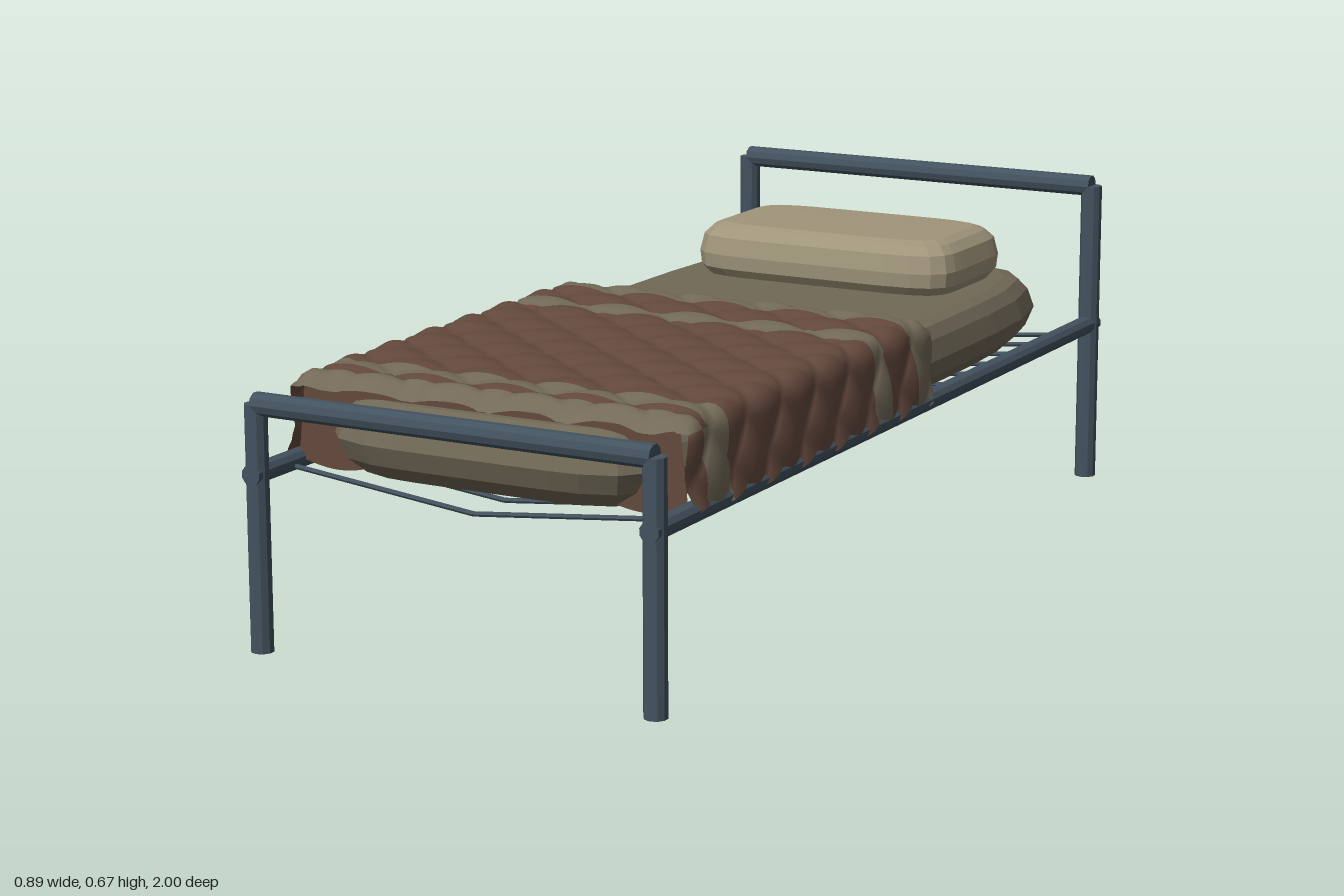
import * as THREE from 'three';

const mat = (name, color, extra = {}) => {
  const m = new THREE.MeshStandardMaterial({ color, ...extra });
  m.name = name;
  return m;
};

// Closed body lofted through rounded-rectangle rings; levels are [y, inset]
function loft(rx, rz, levels, n = 6, seg = 48) {
  const pos = [], idx = [];
  levels.forEach(([y, inset]) => {
    for (let i = 0; i < seg; i++) {
      const a = (i / seg) * Math.PI * 2, c = Math.cos(a), s = Math.sin(a);
      const r = (Math.abs(c) ** n + Math.abs(s) ** n) ** (-1 / n);
      pos.push(c * r * Math.max(0, rx - inset), y, s * r * Math.max(0, rz - inset));
    }
  });
  for (let l = 0; l < levels.length - 1; l++) {
    for (let i = 0; i < seg; i++) {
      const j = (i + 1) % seg, a = l * seg + i, b = a + seg, c = (l + 1) * seg + j, d = l * seg + j;
      idx.push(a, b, c, a, c, d);
    }
  }
  const g = new THREE.BufferGeometry();
  g.setAttribute('position', new THREE.Float32BufferAttribute(pos, 3));
  g.setIndex(idx);
  g.computeVertexNormals();
  return g;
}

// Striped quilt: a draped cross-section swept along z with diamond padding
function quiltGeometry() {
  const z0 = -0.14, z1 = 0.85, rows = 99, cols = 88, total = 0.5635;
  const bendR = 0.03, flat = 0.385, bendMax = 1.45;
  const pos = [], bands = [[], []];
  for (let r = 0; r <= rows; r++) {
    const z = z0 + ((z1 - z0) * r) / rows;
    const end = Math.max(0, 1 - Math.min(z - z0, z1 - z) / 0.03);
    for (let c = 0; c <= cols; c++) {
      const u = (c / cols) * 2 - 1, side = Math.sign(u);
      const hem = 1 + 0.012 * Math.sin(z * 45) * u ** 8;
      const d = Math.abs(u) * total * hem;
      const ang = Math.min(bendMax, Math.max(0, (d - flat) / bendR));
      const rest = Math.max(0, d - flat - bendMax * bendR);
      const pad = Math.sqrt(Math.abs(
        Math.sin(Math.PI * (u * total / 0.17 + z / 0.14)) *
        Math.sin(Math.PI * (u * total / 0.17 - z / 0.14))));
      const off = 0.014 * pad - 0.026 * end * end * (ang > 1 ? 0.3 : 1);
      const x = Math.min(d, flat) + bendR * Math.sin(ang) + rest * Math.cos(ang) + off * Math.sin(ang);
      const y = 0.475 + bendR * Math.cos(ang) - rest * Math.sin(ang) + off * Math.cos(ang);
      const flare = end * (0.012 + 0.006 * Math.sin(u * 24)) * (z < 0.3 ? -1 : 1);
      pos.push(side * x, y, z + flare);
    }
  }
  const w = cols + 1;
  for (let r = 0; r < rows; r++) {
    const z = z0 + ((z1 - z0) * (r + 0.5)) / rows;
    const inBand = (a, b) => z > a && z < b;
    for (let c = 0; c < cols; c++) {
      const onSide = Math.abs((c + 0.5) / cols * 2 - 1) > 0.76;
      const pale = z < -0.06 || inBand(0.06, 0.115) || inBand(0.72, 0.775) ||
        (onSide ? inBand(0.72, 0.81) : z > 0.81);
      const a = r * w + c, b = a + w;
      bands[pale ? 1 : 0].push(a, b, b + 1, a, b + 1, a + 1);
    }
  }
  const g = new THREE.BufferGeometry();
  g.setAttribute('position', new THREE.Float32BufferAttribute(pos, 3));
  g.setIndex([...bands[0], ...bands[1]]);
  g.addGroup(0, bands[0].length, 0);
  g.addGroup(bands[0].length, bands[1].length, 1);
  g.computeVertexNormals();
  return g;
}

export function createModel() {
  const group = new THREE.Group();
  group.name = 'bed';
  const steel = mat('blue grey steel', 0x43525f, { flatShading: true });
  const ticking = mat('drab mattress cloth', 0x716957, { flatShading: true });
  const linen = mat('pale pillow linen', 0xa0957b, { flatShading: true });
  const brown = mat('brown quilt', 0x64493d, { side: THREE.DoubleSide });
  const pale = mat('quilt stripe', 0x736a58, { side: THREE.DoubleSide });

  const add = (name, geometry, material, parent = group) => {
    const m = new THREE.Mesh(geometry, material);
    m.name = name;
    parent.add(m);
    return m;
  };

  // Straight tube between two points
  const up = new THREE.Vector3(0, 1, 0);
  const bar = (name, a, b, radius, sides = 10, parent = group) => {
    const p = new THREE.Vector3(...a), q = new THREE.Vector3(...b);
    const dir = q.clone().sub(p);
    const m = add(name, new THREE.CylinderGeometry(radius, radius, dir.length(), sides), steel, parent);
    m.position.copy(p).add(q).multiplyScalar(0.5);
    m.quaternion.setFromUnitVectors(up, dir.normalize());
  };

  // Head and foot frames
  const R = 0.0225;
  for (const [name, z, h] of [['headboard', -0.9775, 0.65], ['footboard', 0.9775, 0.475]]) {
    for (const x of [-0.42, 0.42]) bar(name + 'Post', [x, 0, z], [x, h, z], R);
    bar(name + 'Rail', [-0.42, h, z], [0.42, h, z], R);
  }

  // Side rails
  for (const x of [-0.42, 0.42]) bar('sideRail', [x, 0.343, -1], [x, 0.343, 1], 0.02);

  // Sagging wire slats
  const slats = new THREE.Group();
  slats.name = 'slats';
  group.add(slats);
  for (let i = 0; i < 17; i++) {
    const z = 0.88 - i * 0.1094;
    for (const x of [-0.42, 0.42]) bar('slat', [x, 0.338, z], [0, 0.3, z + 0.02], 0.005, 6, slats);
  }

  // Mattress
  add('mattress', loft(0.4, 0.92, [
    [0.335, 9], [0.335, 0.045], [0.365, 0.015], [0.405, 0], [0.445, 0.012], [0.468, 0.03], [0.476, 0.055], [0.478, 9],
  ]), ticking);

  // Pillow
  add('pillow', loft(0.302, 0.178, [
    [0.47, 9], [0.47, 0.022], [0.495, 0.003], [0.525, 0], [0.562, 0.008], [0.58, 0.025], [0.588, 0.045], [0.59, 9],
  ]), linen).position.z = -0.635;

  // Quilt with its hanging front flap
  add('quilt', quiltGeometry(), [brown, pale]);
  const flap = new THREE.Shape();
  flap.moveTo(-0.4, 0.488);
  flap.lineTo(-0.415, 0.35);
  for (let i = 0; i <= 60; i++) {
    const x = -0.41 + (0.82 * i) / 60;
    flap.lineTo(x, 0.345 - 0.014 * Math.abs(Math.sin((x + 0.41) * Math.PI / 0.164)));
  }
  flap.lineTo(0.415, 0.35);
  flap.lineTo(0.4, 0.488);
  add('quiltFlap', new THREE.ShapeGeometry(flap), brown).position.z = 0.848;

  return group;
}
